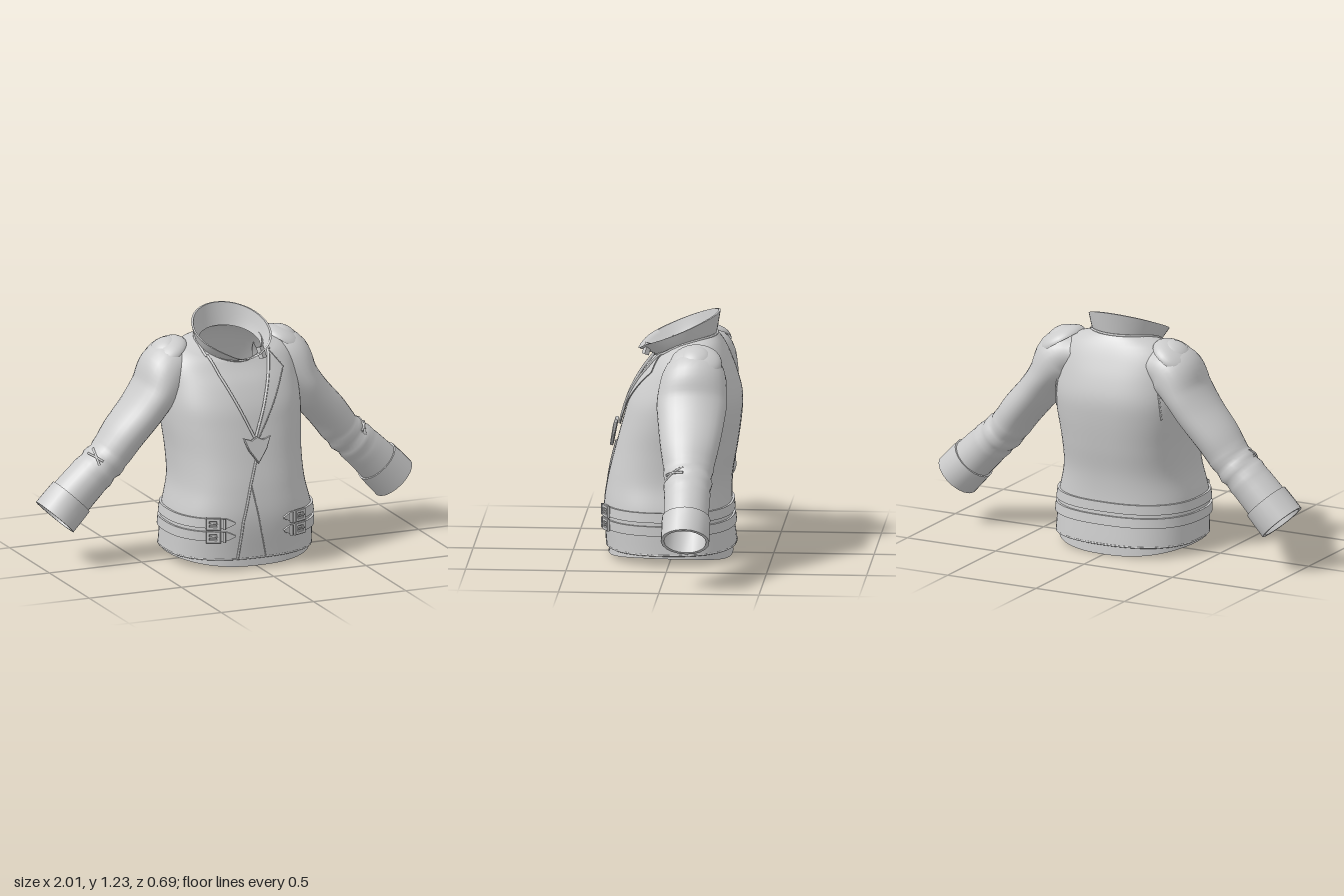
import * as THREE from 'three';
import { toCreasedNormals } from 'three/addons/utils/BufferGeometryUtils.js';

const material = new THREE.MeshStandardMaterial({ color: 0xcccccc, side: THREE.DoubleSide });
const TAU = Math.PI * 2;
const V = (x, y, z) => new THREE.Vector3(x, y, z);

// Surface from fn(i, j); j wraps round when closed
function surface(rows, cols, fn, closed = false, crease = 0) {
  const pos = [], index = [];
  const n = closed ? cols : cols + 1;
  for (let i = 0; i <= rows; i++) for (let j = 0; j < n; j++) pos.push(...fn(i, j).toArray());
  for (let i = 0; i < rows; i++) for (let j = 0; j < cols; j++) {
    const k = (j + 1) % n, a = i * n + j, b = i * n + k, c = a + n, d = b + n;
    index.push(a, b, d, a, d, c);
  }
  const g = new THREE.BufferGeometry();
  g.setAttribute('position', new THREE.Float32BufferAttribute(pos, 3));
  g.setIndex(index);
  g.computeVertexNormals();
  return crease ? toCreasedNormals(g, crease) : g;
}

// Smooth lookup in a table whose first column is the key
function lookup(table, t) {
  let i = 0;
  while (i < table.length - 2 && t > table[i + 1][0]) i++;
  const p = [i - 1, i, i + 1, i + 2].map(k => table[Math.min(Math.max(k, 0), table.length - 1)]);
  const f = THREE.MathUtils.clamp((t - p[1][0]) / (p[2][0] - p[1][0]), 0, 1);
  return p[1].map((_, c) => {
    const slope = (a, b) => (b[c] - a[c]) / (b[0] - a[0] || 1) * (p[2][0] - p[1][0]);
    const m0 = slope(p[0], p[2]), m1 = slope(p[1], p[3]), f2 = f * f, f3 = f2 * f;
    return (2 * f3 - 3 * f2 + 1) * p[1][c] + (f3 - 2 * f2 + f) * m0 + (3 * f2 - 2 * f3) * p[2][c] + (f3 - f2) * m1;
  });
}

// Torso levels: height, half width, front z, back z, drop of the front, squareness
const TORSO = [
  [0.055, 0.378, 0.332, -0.315, 0, 0.82], [0.25, 0.368, 0.343, -0.293, 0, 0.82],
  [0.4, 0.335, 0.322, -0.295, 0, 0.82], [0.55, 0.333, 0.285, -0.32, 0, 0.82],
  [0.7, 0.348, 0.245, -0.34, 0, 0.82], [0.8, 0.352, 0.215, -0.343, 0, 0.82],
  [0.9, 0.345, 0.165, -0.32, 0, 0.84], [1.0, 0.335, 0.115, -0.283, 0.03, 0.88],
  [1.06, 0.3, 0.095, -0.256, 0.06, 0.92], [1.1, 0.24, 0.09, -0.232, 0.09, 0.96],
  [1.12, 0.165, 0.09, -0.215, 0.11, 1]];
const power = (v, p) => Math.sign(v) * Math.abs(v) ** p;

// Angle 0 is the front middle, positive towards +x
function torso(t, a, off = 0) {
  const [, hx, zf, zb, drop, p] = lookup(TORSO, t);
  const c = Math.cos(a), hz = (zf - zb) / 2;
  return V((hx + off) * power(Math.sin(a), p), t - drop * ((1 + c) / 2) ** 2,
    (zf + zb) / 2 + (hz + off) * power(c, p));
}
function angleAt(x, t) {
  const r = lookup(TORSO, t);
  return Math.asin(power(THREE.MathUtils.clamp(x / r[1], -1, 1), 1 / r[5]));
}
function onFront(x, y, off) {
  let t = y;
  for (let i = 0; i < 12; i++) t = Math.min(1.12, t + (y - torso(t, angleAt(x, t)).y) * 0.7);
  return torso(t, angleAt(x, t), off);
}

// Sleeve stations: place along, x, y, z, radius in the front plane, radius in depth
const SLEEVE = [
  [0, 0.21, 0.985, -0.13, 0.09, 0.12], [1, 0.31, 0.95, -0.125, 0.135, 0.16],
  [2, 0.385, 0.845, -0.12, 0.105, 0.175], [3, 0.455, 0.75, -0.12, 0.1, 0.165],
  [4, 0.55, 0.64, -0.12, 0.1, 0.145], [5, 0.63, 0.535, -0.12, 0.098, 0.122],
  [6, 0.73, 0.44, -0.122, 0.104, 0.115], [7, 0.825, 0.345, -0.124, 0.109, 0.112],
  [8, 0.917, 0.247, -0.125, 0.113, 0.113]];
function sleeve(s, a, off = 0) {
  const p = lookup(SLEEVE, s), q0 = lookup(SLEEVE, Math.max(0, s - 0.2)), q1 = lookup(SLEEVE, Math.min(8, s + 0.2));
  const tx = q1[1] - q0[1], ty = q1[2] - q0[2], l = Math.hypot(tx, ty);
  const u = (p[4] + off) * Math.cos(a);
  return V(p[1] - ty / l * u, p[2] + tx / l * u, p[3] + (p[5] + off) * Math.sin(a));
}

export function createModel() {
  const model = new THREE.Group();
  const add = (name, geometry, parent = model) => {
    const mesh = new THREE.Mesh(geometry, material);
    mesh.name = name;
    parent.add(mesh);
    return mesh;
  };
  const cord = (name, points, r, parent = model) =>
    add(name, new THREE.TubeGeometry(new THREE.CatmullRomCurve3(points), 32, r, 6), parent);
  const frontLine = (name, xy, r, off) => {
    const points = [];
    for (let i = 0; i < xy.length - 1; i++) for (let k = i ? 1 : 0; k <= 8; k++) {
      const f = k / 8;
      points.push(onFront(xy[i][0] * (1 - f) + xy[i + 1][0] * f, xy[i][1] * (1 - f) + xy[i + 1][1] * f, off));
    }
    return cord(name, points, r);
  };

  // Body shell and the lining that shows below its hem
  add('body', surface(44, 64, (i, j) => torso(0.055 + 1.065 * i / 44, j / 64 * TAU), true));
  add('lining', surface(4, 64, (i, j) => {
    const a = j / 64 * TAU, c = Math.cos(a), p = torso(0.1, a, -0.014 - 0.002 * i);
    const low = 0.037 - 0.037 * c * c + 0.012 * Math.max(0, c);
    p.y = 0.12 + (low - 0.12) * (1 - i / 4);
    return p;
  }, true));
  cord('hemEdge', Array.from({ length: 33 }, (_, i) => torso(0.057, i / 32 * TAU, -0.002)), 0.005);

  // Collar with a thin rolled wall, dipping at the front
  add('collar', surface(9, 48, (i, j) => {
    const a = j / 48 * TAU, c = Math.cos(a), inner = i > 4;
    const v = (inner ? 9 - i : i) / 4, f = Math.min(v, 1), off = inner ? 0.01 : 0;
    const dip = Math.max(0, c) ** 8;
    const r = 0.165 + 0.035 * f ** 0.8 - off;
    const y0 = 1.065 - 0.05 * c, y1 = 1.145 - 0.085 * c - 0.025 * dip;
    return V(r * Math.sin(a), y0 + (y1 - y0) * f,
      -0.057 + 0.027 * f + (0.158 + 0.047 * f - off) * c);
  }, true, 0.9));
  cord('collarSeam', Array.from({ length: 33 }, (_, i) => torso(1.118, i / 32 * TAU, 0.004)), 0.006);
  const clip = add('collarClip', new THREE.BoxGeometry(0.03, 0.06, 0.025));
  clip.position.set(0.095, 1.05, 0.125);
  clip.rotation.set(-0.4, 0.5, 0.2);

  // Lapel and front closing
  const corners = [[0, 0.65], [0.02, 0.65], [0.16, 1.04], [0.22, 0.96]];
  add('lapel', surface(14, 6, (i, j) => {
    const u = i / 14, v = j / 6, mix = k => (corners[0][k] * (1 - v) + corners[1][k] * v) * (1 - u)
      + (corners[2][k] * (1 - v) + corners[3][k] * v) * u;
    return onFront(mix(0), mix(1), 0.007);
  }));
  frontLine('lapelEdge', [[0.02, 0.65], [0.22, 0.96], [0.16, 1.04]], 0.003, 0.006);
  for (const s of [-1, 1]) frontLine('neckCord', [[s * 0.165, 1.07], [s * 0.13, 0.96], [0, 0.65]], 0.007, 0.01);
  frontLine('frontOpening', [[0, 0.56], [-0.045, 0.43], [-0.095, 0.25], [-0.12, 0.06]], 0.006, 0.002);
  frontLine('underFlapSeam', [[-0.042, 0.43], [0, 0.2], [0.03, 0.06]], 0.003, 0.001);

  // Arrow-shaped fastener
  const arrow = new THREE.Shape([[-0.07, 0.06], [-0.03, 0.045], [0, 0.06], [0.03, 0.045], [0.07, 0.06],
    [0.045, 0], [0, -0.065], [-0.045, 0]].map(p => new THREE.Vector2(...p)));
  const fastener = add('arrowFastener', new THREE.ExtrudeGeometry(arrow,
    { depth: 0.01, bevelSize: 0.004, bevelThickness: 0.004, bevelSegments: 1 }));
  fastener.position.set(0, 0.603, 0.292);
  fastener.rotation.x = -0.18;

  // Two straps round the waist, with pointed ends and a buckle on each side
  const frame = new THREE.Shape([[-0.034, -0.028], [0.034, -0.028], [0.034, 0.028], [-0.034, 0.028]].map(p => new THREE.Vector2(...p)));
  frame.holes.push(new THREE.Path([[-0.02, -0.016], [-0.02, 0.016], [0.02, 0.016], [0.02, -0.016]].map(p => new THREE.Vector2(...p))));
  const frameGeometry = new THREE.ExtrudeGeometry(frame,
    { depth: 0.01, bevelSize: 0.003, bevelThickness: 0.003, bevelSegments: 1 });
  for (const y of [0.247, 0.18]) {
    const a0 = angleAt(0.12, y), a1 = TAU + angleAt(-0.135, y);
    add('waistStrap', surface(90, 4, (i, j) => {
      const half = 0.024 * Math.min(1, 0.15 + Math.min(i, 90 - i) / 2);
      const [h, off] = [[-1, -0.004], [1, -0.004], [1, 0.011], [-1, 0.011]][j % 4];
      return torso(y + h * half, a0 + (a1 - a0) * i / 90, off);
    }, true, 0.6));
    for (const x of [-0.235, 0.21]) {
      const buckle = new THREE.Group();
      buckle.name = 'buckle';
      const p = onFront(x, y, 0.01), l = onFront(x - 0.02, y, 0.01), r = onFront(x + 0.02, y, 0.01);
      buckle.position.copy(p);
      buckle.rotation.y = Math.atan2(l.z - r.z, r.x - l.x);
      add('buckleFrame', frameGeometry, buckle);
      add('bucklePin', new THREE.BoxGeometry(0.05, 0.007, 0.008), buckle).position.z = 0.014;
      const loop = add('strapLoop', new THREE.BoxGeometry(0.012, 0.054, 0.014), buckle);
      loop.position.set(x < 0 ? 0.055 : -0.055, 0, 0.003);
      model.add(buckle);
    }
  }

  // Sleeves, cuffs and shoulder pads, mirrored
  for (const side of [1, -1]) {
    const arm = new THREE.Group();
    arm.name = side > 0 ? 'leftArm' : 'rightArm';
    const m = p => { p.x *= side; return p; };
    add('sleeve', surface(48, 28, (i, j) => {
      // Shallow folds near the elbow
      const s = i / 48 * 7.9, a = j / 28 * TAU;
      const fold = Math.exp(-(((s - 5.4) / 0.5) ** 2)) * 0.006 * Math.sin(s * 11 + Math.sin(a) * 2);
      return m(sleeve(s, a, fold));
    }, true), arm);
    const wall = [[7.02, 0], [7.02, 0.009], [7.5, 0.009], [8, 0.008], [8, -0.008], [7.1, -0.008]];
    add('cuff', surface(wall.length - 1, 20, (i, j) => m(sleeve(wall[i][0], j / 20 * TAU, wall[i][1])), true, 0.7), arm);
    for (const k of [0, 1]) cord('elbowCrease', [0.15, 0.45, 0.75, 1.05].map((a, i) =>
      m(sleeve(5.2 + k * 0.28 + (k ? -0.04 : 0.12) * i, a, 0.002))), 0.006, arm);

    // Layered domes over the shoulder
    for (const [name, x, y, r, h] of [['shoulderPad', 0.318, 1.022, 0.125, 0.066], ['shoulderPadTop', 0.325, 1.048, 0.078, 0.05]]) {
      const pad = add(name, new THREE.SphereGeometry(1, 28, 12, 0, TAU, 0, Math.PI / 2), arm);
      pad.scale.set(r, h, r * 1.04);
      pad.position.set(side * x, y, -0.135);
      pad.rotation.z = -side * 0.55;
    }

    // Armhole seam on the back
    cord('armholeSeam', [0.72, 0.82, 0.9, 0.97].map((t, i) =>
      m(torso(t, Math.PI - 0.95 + i * 0.04, 0.002))), 0.005, arm);
    model.add(arm);
  }
  return model;
}
